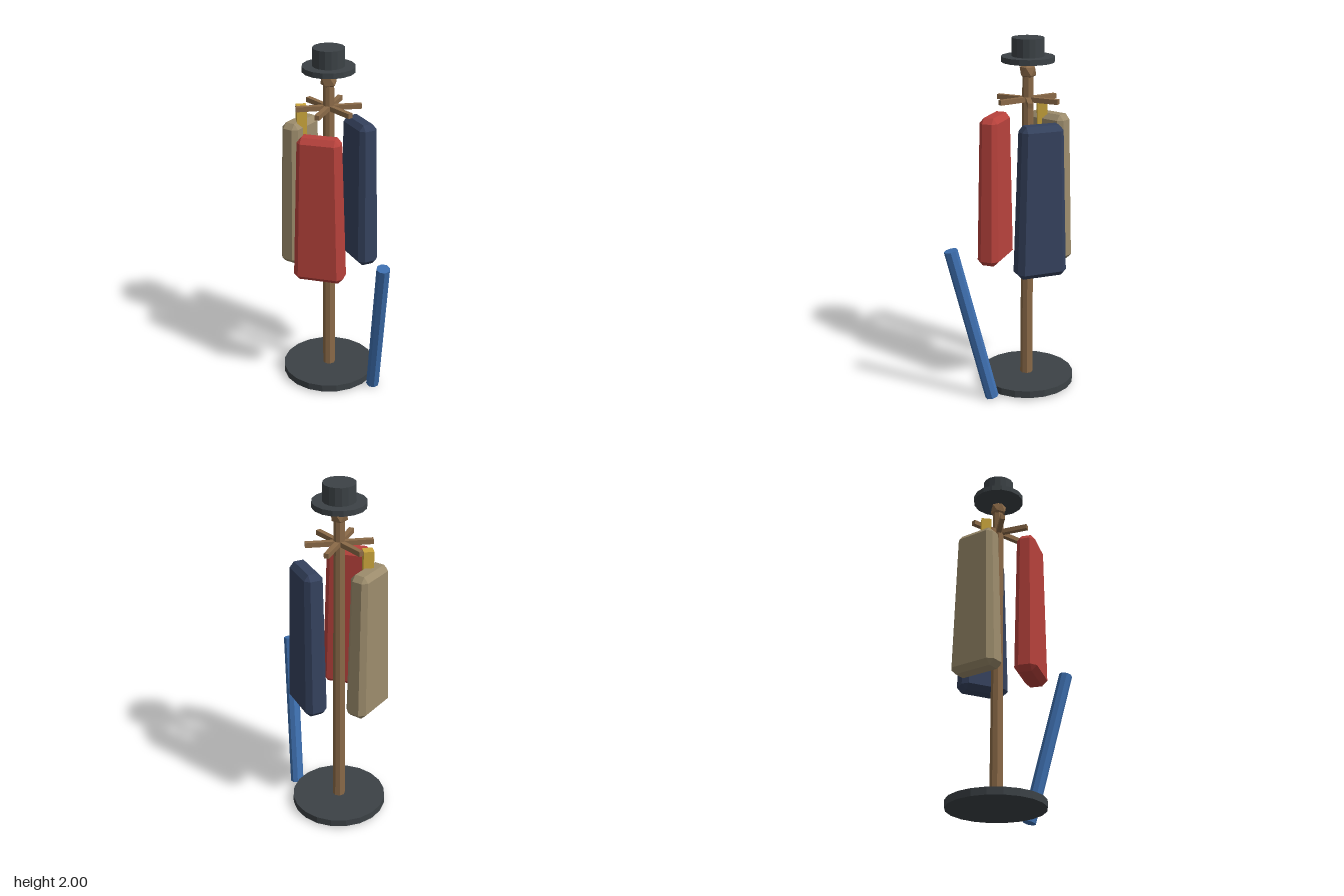
import * as THREE from 'three';
import { ConvexGeometry } from 'three/addons/geometries/ConvexGeometry.js';

const mat = (name, color) => {
  const m = new THREE.MeshStandardMaterial({ color, flatShading: true });
  m.name = name;
  return m;
};

// Tapered garment block with chamfered edges, narrower at the top
function coatGeometry() {
  const a = 0.1425, b = 0.0635, c = 0.03, y0 = 0.72, y1 = 1.565;
  const points = [];
  const add = (x, y, z) => {
    const s = 1 - 0.18 * (y - y0) / (y1 - y0);
    for (const i of [-1, 1]) for (const j of [-1, 1]) points.push(new THREE.Vector3(i * x * s, y, j * z * s));
  };
  for (const y of [y0 + c, y1 - c]) {
    add(a, y, b - c);
    add(a - c, y, b);
  }
  for (const y of [y0, y1]) add(a - c, y, b - c);
  return new ConvexGeometry(points);
}

export function createModel() {
  const iron = mat('dark charcoal', 0x3c4246);
  const wood = mat('brown wood', 0x8b6a48);
  const red = mat('red cloth', 0xb8423c);
  const navy = mat('navy cloth', 0x35425e);
  const tan = mat('tan cloth', 0x9c8c6c);
  const yellow = mat('mustard yellow', 0xcba63c);
  const blue = mat('umbrella blue', 0x3e70b0);

  const model = new THREE.Group();
  model.name = 'coatStand';
  const stand = new THREE.Group(); // everything centred on the pole
  stand.name = 'stand';
  stand.position.set(-0.005, 0, -0.098);
  model.add(stand);

  const add = (parent, name, geometry, material, x = 0, y = 0, z = 0) => {
    const mesh = new THREE.Mesh(geometry, material);
    mesh.name = name;
    mesh.position.set(x, y, z);
    parent.add(mesh);
    return mesh;
  };
  const disc = (name, r0, r1, y0, y1, sides, material) =>
    add(stand, name, new THREE.CylinderGeometry(r1, r0, y1 - y0, sides), material, 0, (y0 + y1) / 2);

  // Base, pole and finial
  disc('base', 0.27, 0.27, 0.013, 0.054, 20, iron);
  disc('pole', 0.036, 0.03, 0.05, 1.81, 8, wood);
  const knob = new THREE.IcosahedronGeometry(0.05, 0);
  knob.rotateX(-Math.atan2((1 + Math.sqrt(5)) / 2, 1));
  add(stand, 'finial', knob, wood, 0, 1.82, 0);

  // Hat resting on the finial
  disc('hatBrim', 0.145, 0.145, 1.871, 1.901, 16, iron);
  disc('hatCrown', 0.088, 0.088, 1.9, 2, 16, iron);

  // Six horizontal hooks
  for (let i = 0; i < 6; i++) {
    const angle = i * Math.PI / 3;
    const hook = add(stand, 'hook', new THREE.BoxGeometry(0.17, 0.027, 0.027), wood,
      0.095 * Math.cos(angle), 1.667, 0.095 * Math.sin(angle));
    hook.rotation.y = -angle;
  }

  // Three hanging coats facing outwards
  const coat = coatGeometry();
  for (const [name, angle, material] of [['navyCoat', -0.3, navy], ['redCoat', 2.0, red], ['tanCoat', 3.9, tan]]) {
    const mesh = add(stand, name, coat, material, 0.192 * Math.cos(angle), 0, 0.192 * Math.sin(angle));
    mesh.rotation.y = Math.PI / 2 - angle;
  }

  // Scarf
  add(model, 'scarf', new THREE.BoxGeometry(0.055, 0.6, 0.055), yellow, -0.142, 1.357, -0.188);

  // Leaning umbrella
  const umbrella = add(model, 'umbrella', new THREE.CylinderGeometry(0.038, 0.038, 0.904, 8), blue, 0.22, 0.449, 0.223);
  umbrella.rotation.x = 0.245;

  return model;
}
